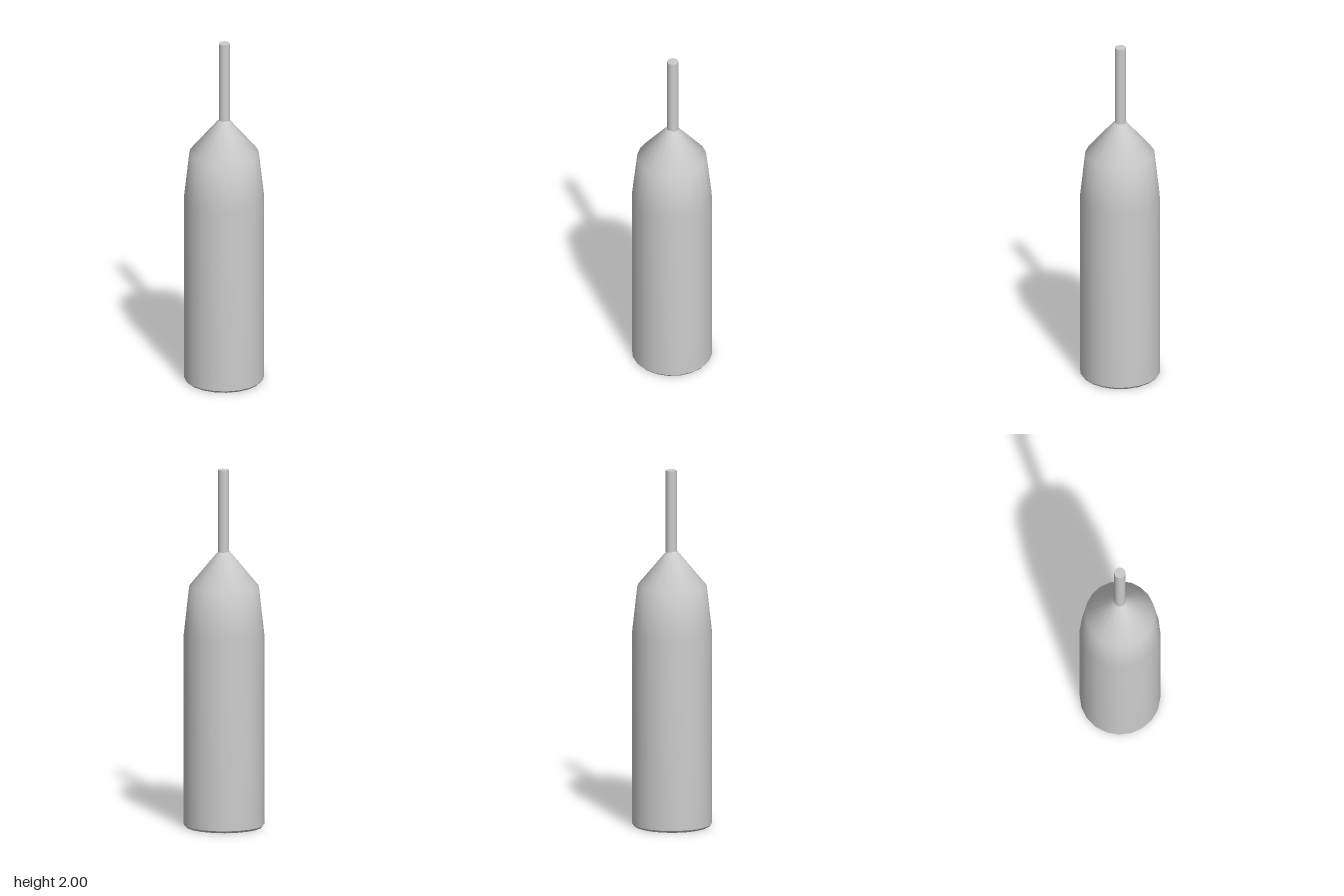
import * as THREE from 'three';

const SIDES = 20;

export function createModel() {
  const group = new THREE.Group();
  const material = new THREE.MeshStandardMaterial({ color: 0xcccccc });

  const add = (name, geometry) => {
    const mesh = new THREE.Mesh(geometry, material);
    mesh.name = name;
    group.add(mesh);
    return mesh;
  };
  // Surface of revolution from [radius, height] pairs, bottom to top
  const lathe = (pairs) =>
    new THREE.LatheGeometry(pairs.map(([r, y]) => new THREE.Vector2(r, y)), SIDES);

  // Flat underside and its small chamfer, kept sharp as separate surfaces
  add('underside', lathe([[0, 0], [0.212, 0]]));
  add('baseChamfer', lathe([[0.212, 0], [0.222, 0.012]]));

  // Straight body, tapered shoulder and conical top, smoothly shaded
  add('body', lathe([[0.222, 0.012], [0.222, 1.08], [0.192, 1.35], [0.03, 1.545]]));

  // Slim rod rising from the tip, a hair behind the axis
  const rod = add('rod', new THREE.CylinderGeometry(0.031, 0.031, 0.46, SIDES));
  rod.position.set(0, 1.77, -0.004);

  return group;
}
